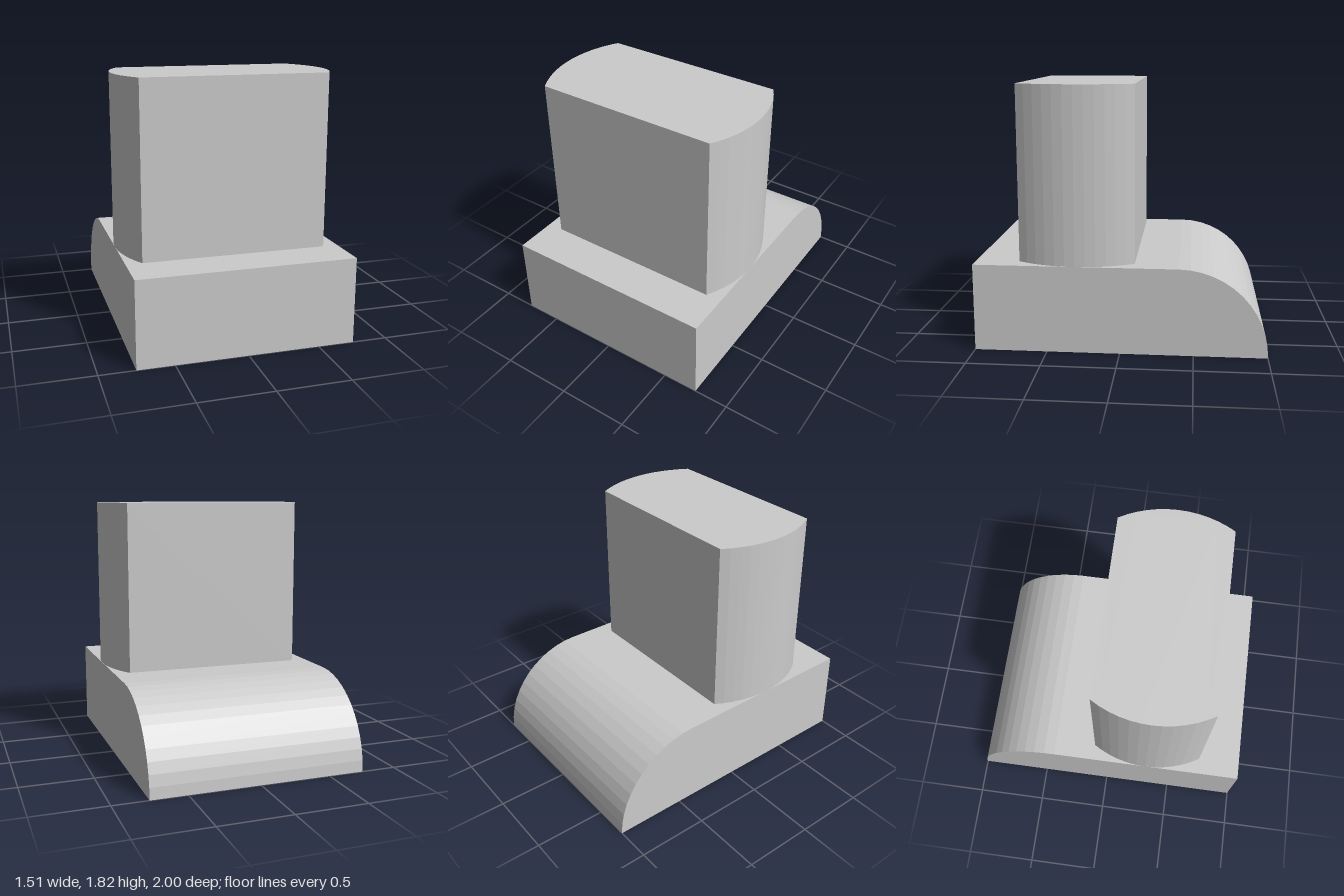
import * as THREE from 'three';

const HALF_WIDTH = 0.755;
const BASE_HEIGHT = 0.605;
const TOP = 1.815;

function extrude(shape, depth) {
  return new THREE.ExtrudeGeometry(shape, { depth, bevelEnabled: false, curveSegments: 6 });
}

export function createModel() {
  const group = new THREE.Group();
  const material = new THREE.MeshStandardMaterial({ color: 0xcccccc, flatShading: true });

  const add = (name, geometry) => {
    const mesh = new THREE.Mesh(geometry, material);
    mesh.name = name;
    group.add(mesh);
  };

  // Base: side profile (z, y) with a quarter-round back, extruded across x
  const profile = new THREE.Shape();
  profile.moveTo(-1, 0);
  profile.lineTo(1, 0);
  profile.lineTo(1, BASE_HEIGHT);
  profile.absarc(-1 + BASE_HEIGHT, 0, BASE_HEIGHT, Math.PI / 2, Math.PI, false);
  const base = extrude(profile, 2 * HALF_WIDTH);
  base.rotateY(-Math.PI / 2);
  base.translate(HALF_WIDTH, 0, 0);
  add('base', base);

  // Pillar: a disc cut flat at front and back, extruded upwards
  const halfAngle = Math.asin(0.397 / HALF_WIDTH);
  const outline = new THREE.Shape();
  outline.absarc(0, 0, HALF_WIDTH, -halfAngle, halfAngle, false);
  outline.absarc(0, 0, HALF_WIDTH, Math.PI - halfAngle, Math.PI + halfAngle, false);
  outline.closePath();
  const pillar = extrude(outline, TOP - BASE_HEIGHT);
  pillar.rotateX(-Math.PI / 2);
  pillar.translate(0, BASE_HEIGHT, 0.302);
  add('pillar', pillar);

  return group;
}
